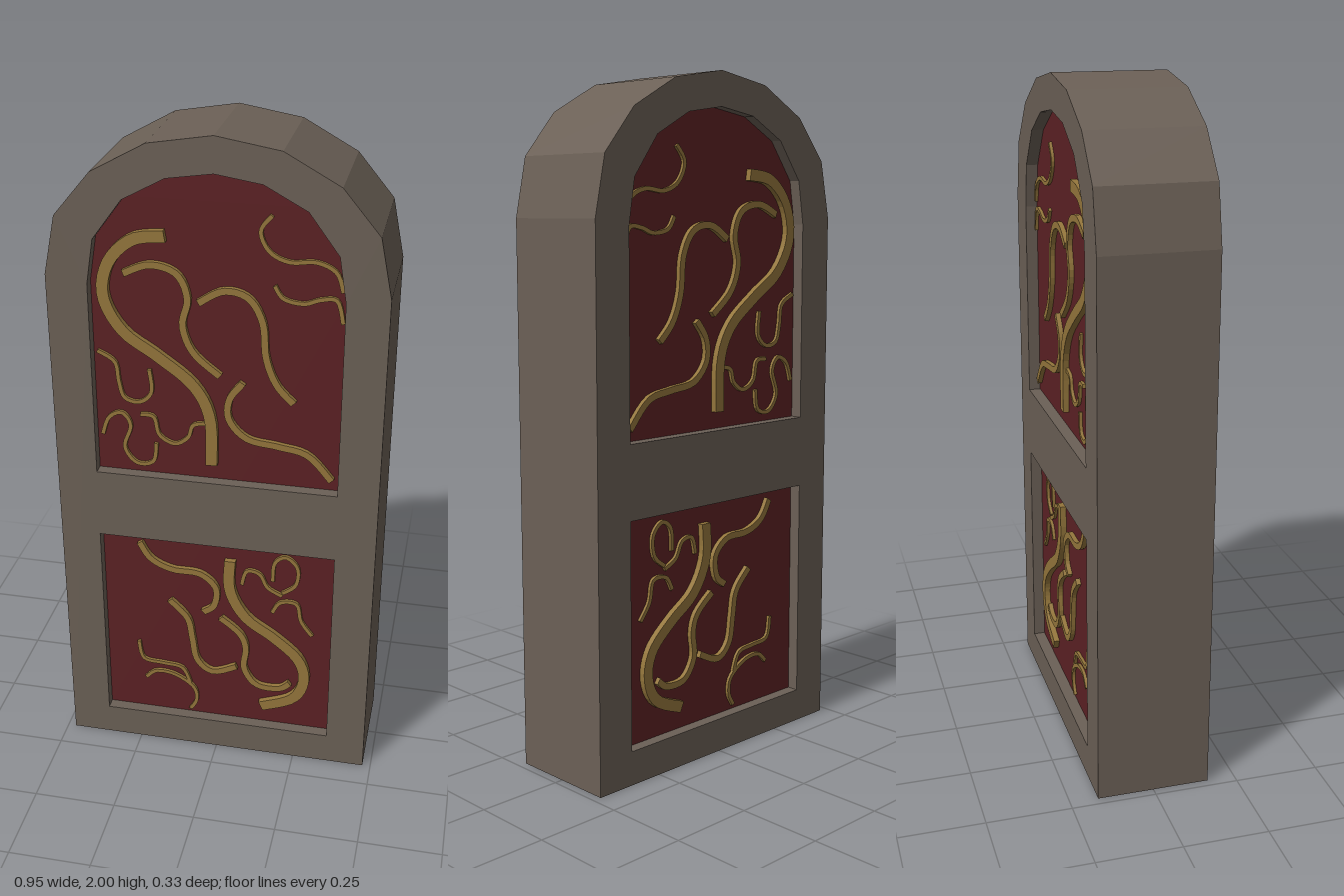
import * as THREE from 'three';

const stone = new THREE.MeshStandardMaterial({ color: 0x6b6056 });
stone.name = 'greyBrownFrame';
const red = new THREE.MeshStandardMaterial({ color: 0x5c2124 });
red.name = 'darkRedPanel';
const gold = new THREE.MeshStandardMaterial({ color: 0x94763c });
gold.name = 'dullGold';

const HALF = 0.167;       // half depth of the frame
const PANEL = 0.132;      // half depth of the recessed panel

// Arched outline from the right half of its arch, listed from spring line to apex
function archPoints(half, bottom) {
  const left = half.slice(0, -1).reverse().map(([x, y]) => [-x, y]);
  const w = half[0][0];
  return [[-w, bottom], [w, bottom], ...half, ...left].map(([x, y]) => new THREE.Vector2(x, y));
}

// Extrude a shape symmetrically about z = 0
function slab(shape, half) {
  const g = new THREE.ExtrudeGeometry(shape, { depth: half * 2, bevelEnabled: false });
  g.translate(0, 0, -half);
  return g;
}

// Ribbon of constant width following a smooth curve
function ribbon(points, width, half) {
  const curve = new THREE.SplineCurve(points.map(([x, y]) => new THREE.Vector2(x, y)));
  const n = points.length * 4;
  const a = [], b = [];
  for (let i = 0; i <= n; i++) {
    const p = curve.getPoint(i / n), t = curve.getTangent(i / n);
    a.push(new THREE.Vector2(p.x - t.y * width / 2, p.y + t.x * width / 2));
    b.unshift(new THREE.Vector2(p.x + t.y * width / 2, p.y - t.x * width / 2));
  }
  return slab(new THREE.Shape([...a, ...b]), half);
}

// Scrollwork grouped by weight; each scroll shows on both faces
const stems = [
  [[-.14, 1.715], [-.23, 1.7], [-.3, 1.63], [-.318, 1.53], [-.265, 1.43], [-.165, 1.36], [-.065, 1.28], [-.018, 1.18], [-.015, 1.03]],
  [[.04, .705], [.04, .6], [.09, .505], [.18, .44], [.255, .37], [.275, .29], [.24, .215], [.14, .17]],
];
const branches = [
  [[-.26, 1.6], [-.185, 1.63], [-.11, 1.61], [-.08, 1.54], [-.095, 1.46], [-.065, 1.38], [.01, 1.315]],
  [[-.05, 1.53], [.02, 1.57], [.09, 1.555], [.13, 1.485], [.14, 1.385], [.17, 1.305], [.22, 1.25]],
  [[.075, 1.3], [.037, 1.245], [.037, 1.18], [.09, 1.125], [.18, 1.11], [.265, 1.09], [.335, 1.015]],
  [[-.24, .735], [-.205, .68], [-.14, .65], [-.055, .645], [-.005, .6], [-.01, .535], [-.045, .505]],
  [[-.15, .535], [-.095, .475], [-.08, .4], [-.065, .32], [-.015, .28], [.06, .31]],
  [[.01, .49], [.07, .44], [.09, .385], [.085, .31], [.125, .25], [.195, .245], [.23, .27]],
];
const tendrils = [
  [[.15, 1.79], [.12, 1.745], [.145, 1.69], [.2, 1.665], [.27, 1.67], [.325, 1.645], [.345, 1.59]],
  [[.16, 1.595], [.185, 1.56], [.24, 1.55], [.285, 1.565], [.33, 1.565], [.348, 1.5]],
  [[-.345, 1.36], [-.295, 1.33], [-.285, 1.27], [-.27, 1.22], [-.225, 1.21], [-.19, 1.245], [-.195, 1.315]],
  [[-.34, 1.095], [-.32, 1.15], [-.28, 1.17], [-.255, 1.13], [-.275, 1.06], [-.24, 1.01], [-.19, 1.02], [-.18, 1.08]],
  [[-.225, 1.17], [-.185, 1.165], [-.17, 1.11], [-.125, 1.085], [-.085, 1.11], [-.07, 1.15], [-.03, 1.16]],
  [[-.255, .36], [-.24, .295], [-.175, .285], [-.115, .275], [-.09, .22]],
  [[-.235, .22], [-.2, .25], [-.14, .245], [-.08, .205], [-.07, .155], [-.09, .115]],
  [[.17, .645], [.175, .71], [.21, .735], [.245, .7], [.24, .64], [.2, .605]],
  [[.075, .62], [.09, .67], [.13, .665], [.155, .62], [.2, .595]],
  [[.17, .53], [.195, .57], [.245, .57], [.26, .51], [.295, .46]],
];

export function createModel() {
  const model = new THREE.Group();
  model.name = 'archedDoor';
  const add = (name, geometry, material, parent = model) => {
    const mesh = new THREE.Mesh(geometry, material);
    mesh.name = name;
    parent.add(mesh);
    return mesh;
  };

  // Arched frame with an arched opening
  const outer = archPoints([[.475, 1.59], [.44, 1.76], [.335, 1.885], [.18, 1.97], [0, 2]], 0);
  const inner = archPoints([[.356, 1.57], [.335, 1.7], [.25, 1.815], [.13, 1.88], [0, 1.9]], .1);
  const frame = new THREE.Shape(outer);
  frame.holes.push(new THREE.Path(inner));
  add('frame', slab(frame, HALF), stone);

  // Recessed panel filling the opening
  add('panel', slab(new THREE.Shape(inner), PANEL), red);

  // Middle rail, flush with the frame
  add('middleRail', new THREE.BoxGeometry(.712, .215, HALF * 2), stone).position.y = .8725;

  // Raised scrollwork
  const scrolls = new THREE.Group();
  scrolls.name = 'scrollwork';
  model.add(scrolls);
  for (const p of stems) add('scrollStem', ribbon(p, .034, .15), gold, scrolls);
  for (const p of branches) add('scrollBranch', ribbon(p, .02, .146), gold, scrolls);
  for (const p of tendrils) add('scrollTendril', ribbon(p, .012, .141), gold, scrolls);

  return model;
}
